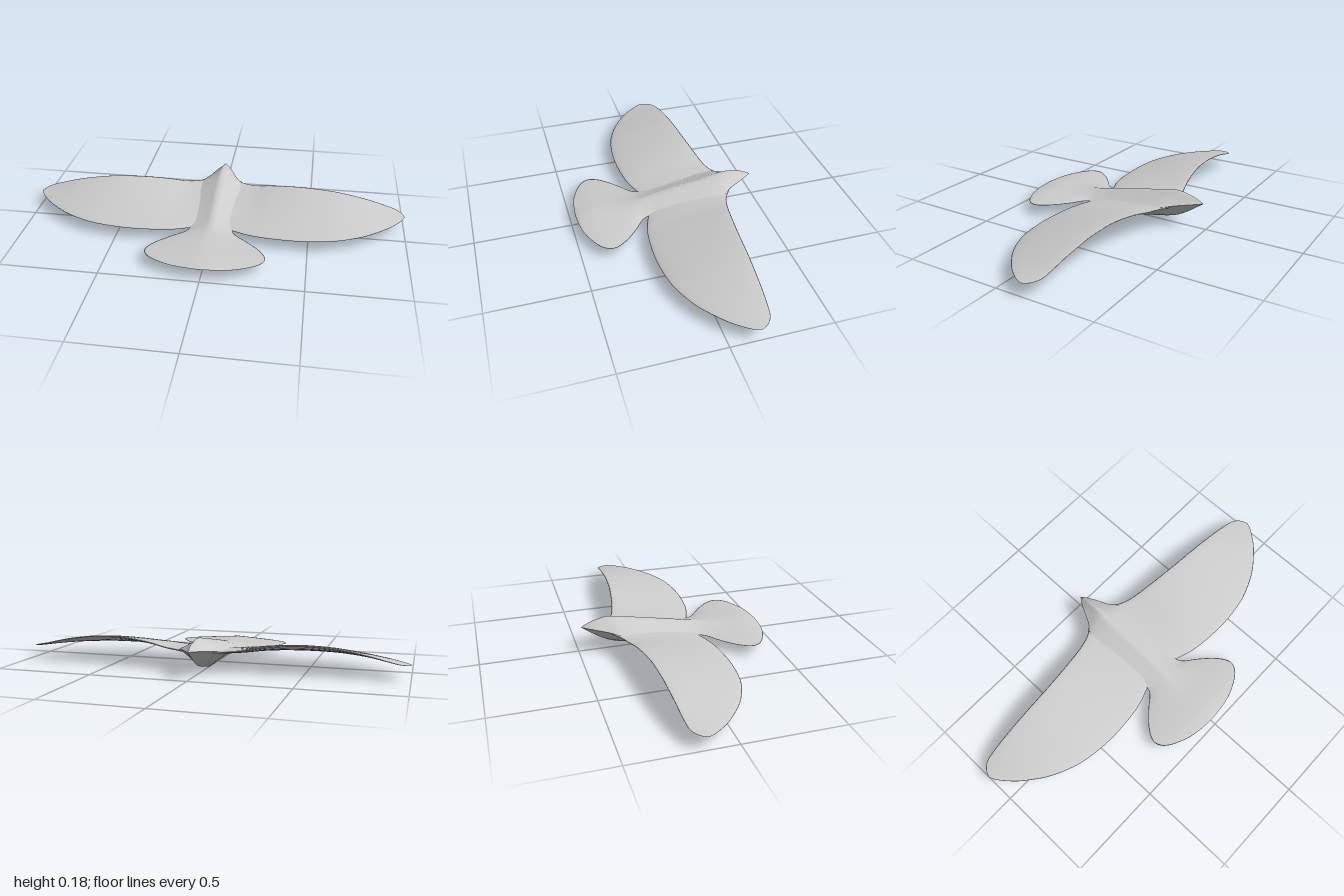
import * as THREE from 'three';

// Smoothly resample rows of numbers (uniform Catmull-Rom per column)
function resample(rows, steps) {
  const out = [];
  const last = rows.length - 1;
  const row = (i) => rows[Math.min(Math.max(i, 0), last)];
  for (let i = 0; i < last; i++) {
    for (let s = 0; s < steps; s++) {
      const t = s / steps;
      out.push(row(i).map((p1, k) => {
        const p0 = row(i - 1)[k], p2 = row(i + 1)[k], p3 = row(i + 2)[k];
        return p1 + 0.5 * t * (p2 - p0 + t * (2 * p0 - 5 * p1 + 4 * p2 - p3 + t * (3 * (p1 - p2) + p3 - p0)));
      }));
    }
  }
  out.push(rows[last]);
  return out;
}

// Skin a list of closed rings of [x, y, z] points
function loft(rings) {
  const n = rings[0].length;
  const index = [];
  for (let i = 0; i < rings.length - 1; i++) {
    for (let j = 0; j < n; j++) {
      const a = i * n + j, b = i * n + (j + 1) % n;
      index.push(a, b, a + n, b, b + n, a + n);
    }
  }
  const geometry = new THREE.BufferGeometry();
  geometry.setAttribute('position', new THREE.Float32BufferAttribute(rings.flat(2), 3));
  geometry.setIndex(index);
  geometry.computeVertexNormals();
  return geometry;
}

// Body and fan tail: z, half width, top y, edge y, bottom y
const BODY = [
  [-0.48, 0.001, 0.136, 0.135, 0.134],
  [-0.45, 0.022, 0.153, 0.133, 0.113],
  [-0.41, 0.045, 0.168, 0.129, 0.085],
  [-0.35, 0.075, 0.18, 0.121, 0.05],
  [-0.29, 0.115, 0.174, 0.112, 0.03],
  [-0.2, 0.13, 0.157, 0.1, 0.012],
  [-0.13, 0.125, 0.144, 0.091, 0.001],
  [0, 0.115, 0.119, 0.075, 0.009],
  [0.1, 0.11, 0.099, 0.061, 0.016],
  [0.15, 0.128, 0.09, 0.057, 0.021],
  [0.2, 0.19, 0.083, 0.055, 0.027],
  [0.27, 0.263, 0.078, 0.055, 0.031],
  [0.34, 0.3, 0.077, 0.055, 0.034],
  [0.4, 0.27, 0.075, 0.055, 0.037],
  [0.45, 0.175, 0.068, 0.056, 0.044],
  [0.47, 0.09, 0.062, 0.057, 0.052],
  [0.477, 0.002, 0.058, 0.057, 0.056],
];

function bodyGeometry() {
  const count = 32;
  return loft(resample(BODY, 4).map(([z, w, top, edge, bottom]) => {
    // Pointed keel section in front, softer lens in the tail
    const power = z < 0.1 ? 1.15 : 0.95;
    return Array.from({ length: count }, (_, j) => {
      const a = (j / count) * Math.PI * 2;
      const u = Math.cos(a);
      const rise = Math.pow(Math.max(0, 1 - Math.abs(u)), power);
      return [w * u, edge + rise * ((Math.sin(a) >= 0 ? top : bottom) - edge), z];
    });
  }));
}

// Half wing: x, leading z, trailing z, leading y, trailing y
const WING = [
  [0, -0.34, 0.11, 0.112, 0.058],
  [0.08, -0.335, 0.11, 0.112, 0.058],
  [0.13, -0.303, 0.125, 0.111, 0.058],
  [0.2, -0.28, 0.148, 0.116, 0.058],
  [0.3, -0.26, 0.164, 0.134, 0.059],
  [0.45, -0.24, 0.17, 0.147, 0.06],
  [0.6, -0.23, 0.153, 0.143, 0.062],
  [0.7, -0.225, 0.122, 0.131, 0.063],
  [0.8, -0.22, 0.072, 0.113, 0.064],
  [0.9, -0.213, -0.005, 0.088, 0.065],
  [0.95, -0.203, -0.058, 0.076, 0.065],
  [0.985, -0.175, -0.105, 0.069, 0.066],
  [1, -0.141, -0.139, 0.066, 0.066],
];

function wingGeometry() {
  const half = resample(WING, 4);
  const span = [...half.slice(1).reverse().map(([x, ...rest]) => [-x, ...rest]), ...half];
  const count = 28;
  return loft(span.map(([x, zLead, zTrail, yLead, yTrail]) => {
    const thick = 0.03 * (zTrail - zLead);
    return Array.from({ length: count }, (_, j) => {
      const a = (j / count) * Math.PI * 2;
      const s = (1 - Math.cos(a)) / 2;
      return [x, yLead + (yTrail - yLead) * s + thick * Math.sin(a), zLead + (zTrail - zLead) * s];
    });
  }));
}

export function createModel() {
  const group = new THREE.Group();
  group.name = 'glidingBird';
  const grey = new THREE.MeshStandardMaterial({ color: 0xcccccc });
  grey.name = 'plain grey';

  const addPart = (name, geometry) => {
    const mesh = new THREE.Mesh(geometry, grey);
    mesh.name = name;
    group.add(mesh);
  };
  addPart('bodyAndTail', bodyGeometry());
  addPart('wings', wingGeometry());
  return group;
}
